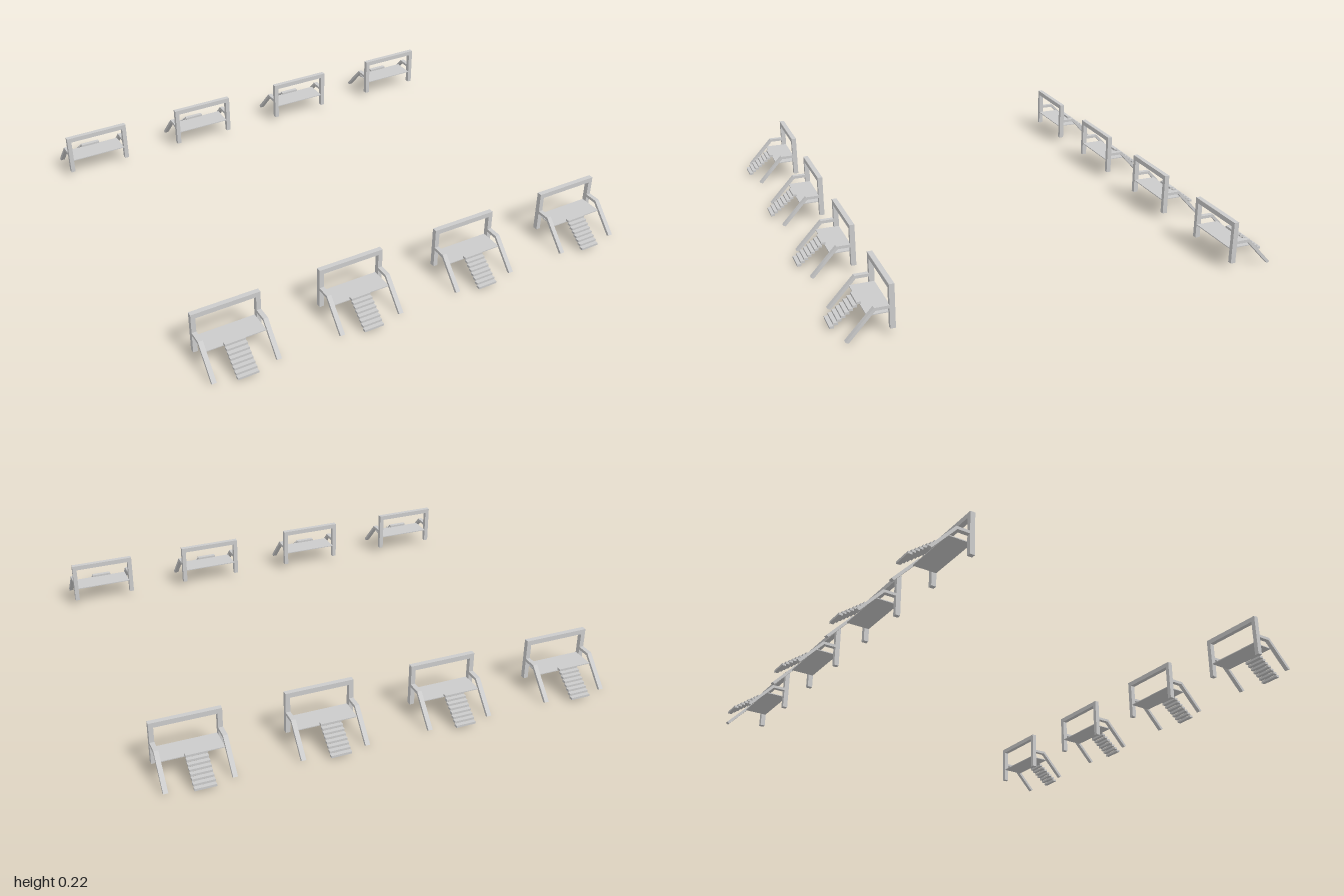
import * as THREE from 'three';

const material = new THREE.MeshStandardMaterial({ color: 0xcccccc, flatShading: true });

function box(name, w, h, d, x, y, z) {
  const mesh = new THREE.Mesh(new THREE.BoxGeometry(w, h, d), material);
  mesh.name = name;
  mesh.position.set(x, y, z);
  return mesh;
}

// Bent rail: a level arm from the post, then a leg sloping to the ground
function createRail(x) {
  const shape = new THREE.Shape([
    [0.762, 0.13], [0.823, 0.13], [0.938, 0.006], [0.926, 0],
    [0.818, 0.117], [0.762, 0.117],
  ].map(([z, y]) => new THREE.Vector2(-z, y)));
  const geometry = new THREE.ExtrudeGeometry(shape, { depth: 0.02, bevelEnabled: false });
  geometry.rotateY(Math.PI / 2);
  geometry.translate(x - 0.01, 0, 0);
  const mesh = new THREE.Mesh(geometry, material);
  mesh.name = 'bentRail';
  return mesh;
}

// One gate; stairShift moves the steps slightly off its middle
function createGate(stairShift) {
  const gate = new THREE.Group();
  gate.name = 'platformGate';

  // Portal frame
  gate.add(box('topBeam', 0.3, 0.022, 0.022, 0, 0.207, 0.752));
  for (const side of [-1, 1]) {
    gate.add(box('post', 0.02, 0.166, 0.022, side * 0.14, 0.113, 0.752));
    gate.add(createRail(side * 0.14));
  }

  // Thin deck between the posts
  gate.add(box('deck', 0.26, 0.004, 0.105, 0, 0.092, 0.795));

  // Flight of steps down from the deck
  const stairs = new THREE.Group();
  stairs.name = 'stairs';
  const count = 8;
  for (let i = 0; i < count; i++) {
    stairs.add(box('step', 0.09, 0.01, 0.018,
      stairShift, 0.099 - i * 0.012, 0.852 + i * 0.0156));
  }
  gate.add(stairs);
  return gate;
}

export function createModel() {
  const model = new THREE.Group();
  model.name = 'platformGates';
  // Two facing rows of four
  for (const facing of [1, -1]) {
    for (let i = 0; i < 4; i++) {
      const gate = createGate(-0.01 * facing);
      gate.position.x = -0.85 + i * (1.7 / 3);
      if (facing < 0) gate.rotation.y = Math.PI;
      const holder = new THREE.Group();
      holder.name = facing > 0 ? 'frontGate' : 'backGate';
      holder.add(gate);
      model.add(holder);
    }
  }
  return model;
}
